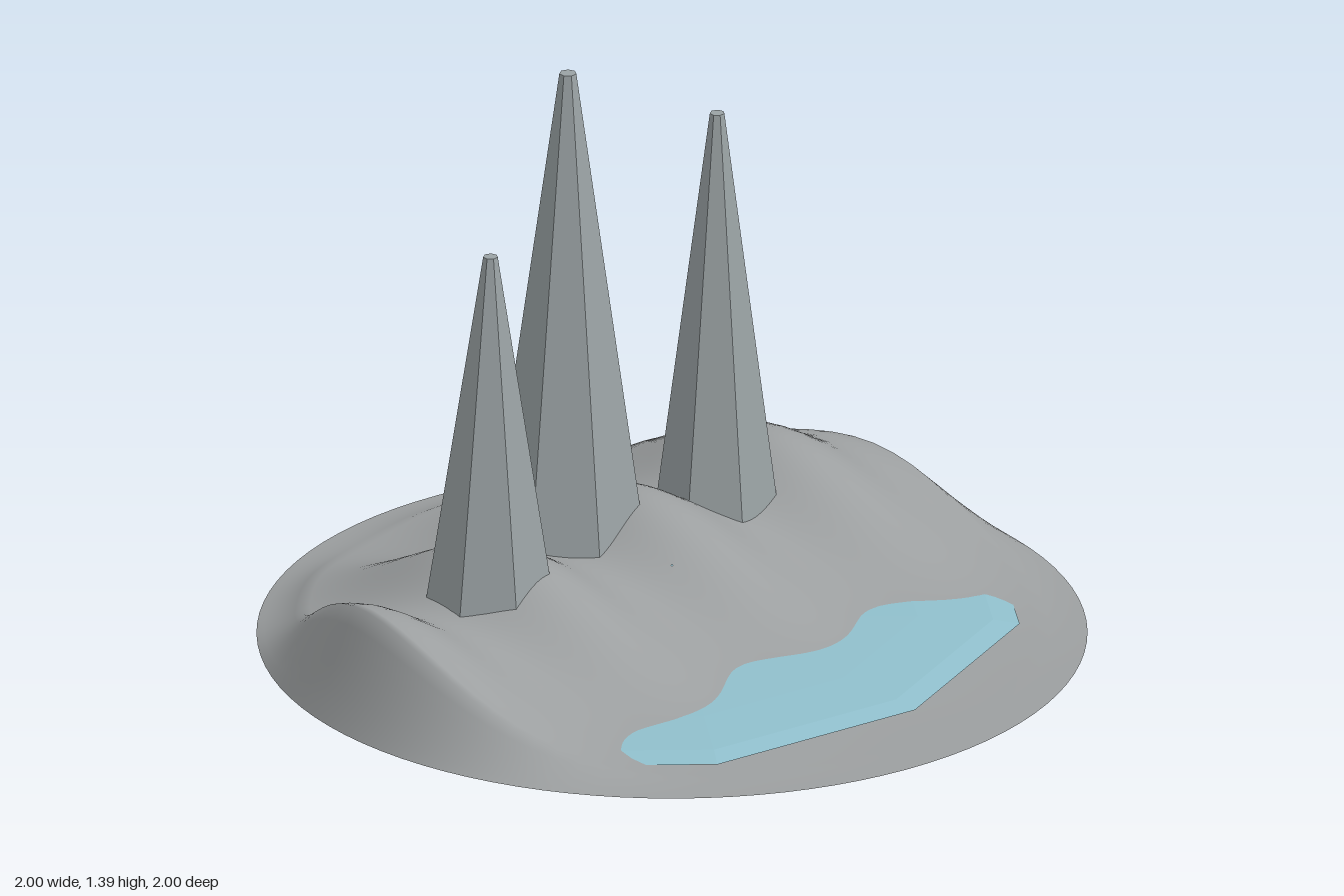
import * as THREE from 'three';
import { mergeVertices } from 'three/addons/utils/BufferGeometryUtils.js';

const BASE = 0.015;

// Ridge across x, rippled by a sine and cut off steeply at the rim
function groundHeight(x, z) {
  const ridge = Math.exp(-((z + 0.22) ** 2) / (2 * 0.315 ** 2));
  const ripple = 0.225 + 0.048 * Math.sin(13 * x);
  const rim = THREE.MathUtils.clamp((1 - Math.hypot(x, z)) / 0.11, 0, 1);
  return BASE + ripple * ridge * rim;
}

function makeGround(material) {
  let geo = new THREE.RingGeometry(0.002, 1, 96, 54).rotateX(-Math.PI / 2);
  geo.deleteAttribute('uv');
  geo.deleteAttribute('normal');
  geo = mergeVertices(geo);
  const p = geo.attributes.position;
  for (let i = 0; i < p.count; i++) p.setY(i, groundHeight(p.getX(i), p.getZ(i)));
  geo.computeVertexNormals();
  const mesh = new THREE.Mesh(geo, material);
  mesh.name = 'ground';
  return mesh;
}

// Seven-sided tapered peak with a small flat tip; radius is measured at y = 0.2
function makePeak(name, x, z, top, radius, tip, material) {
  const foot = 0.1;
  const footRadius = radius + ((radius - tip) * (0.2 - foot)) / (top - 0.2);
  const geo = new THREE.CylinderGeometry(tip, footRadius, top - foot, 7, 1, false, Math.PI);
  const mesh = new THREE.Mesh(geo, material);
  mesh.position.set(x, (top + foot) / 2, z);
  mesh.name = name;
  return mesh;
}

export function createModel() {
  const stone = new THREE.MeshStandardMaterial({ color: 0x9c9fa0, side: THREE.DoubleSide });
  stone.name = 'ground grey';
  const rock = new THREE.MeshStandardMaterial({ color: 0x9aa2a4, flatShading: true });
  rock.name = 'peak grey';
  const water = new THREE.MeshStandardMaterial({ color: 0x8fbecb, flatShading: true });
  water.name = 'water blue';

  const group = new THREE.Group();
  group.name = 'mountainIsland';
  group.add(makeGround(stone));

  // Three peaks along the ridge
  group.add(
    makePeak('middlePeak', 0, -0.33, 1.39, 0.19, 0.021, rock),
    makePeak('rightPeak', -0.42, -0.215, 1.08, 0.157, 0.018, rock),
    makePeak('leftPeak', 0.4, -0.2, 1.19, 0.148, 0.018, rock)
  );

  // Lake: flattened ten-sided ball showing through in front of the ridge
  const lakeGeo = new THREE.SphereGeometry(1, 10, 8, Math.PI / 2);
  lakeGeo.scale(0.95, 0.03, 0.77);
  const lake = new THREE.Mesh(lakeGeo, water);
  lake.position.y = 0.03;
  lake.name = 'lake';
  group.add(lake);

  return group;
}
